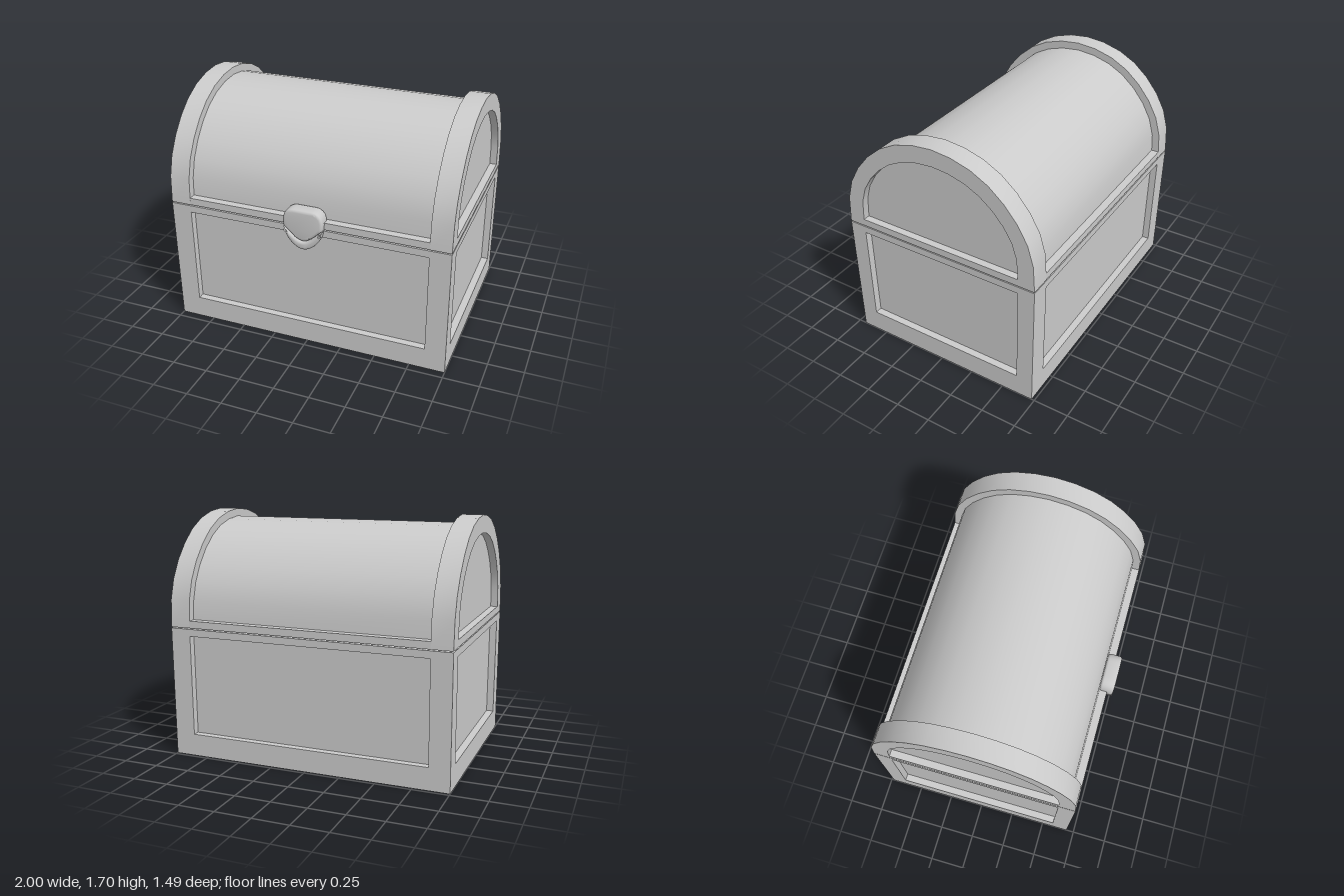
import * as THREE from 'three';
import { toCreasedNormals } from 'three/addons/utils/BufferGeometryUtils.js';

const ZC = -0.018;            // chest centre in depth
const HALF = 0.722;           // half depth
const SEAM = 0.917, LID = 0.925;
const material = new THREE.MeshStandardMaterial({ color: 0xcccccc });

function add(group, name, geometry) {
  const mesh = new THREE.Mesh(geometry, material);
  mesh.name = name;
  group.add(mesh);
  return mesh;
}

function rect(Type, x0, y0, x1, y1) {
  return new Type([[x0, y0], [x1, y0], [x1, y1], [x0, y1]].map(p => new THREE.Vector2(...p)));
}

// Rectangular frame with a rectangular opening, extruded along z
function frame(outer, inner, depth) {
  const shape = rect(THREE.Shape, ...outer);
  shape.holes.push(rect(THREE.Path, ...inner));
  return new THREE.ExtrudeGeometry(shape, { depth, bevelEnabled: false });
}

// The base narrows a little towards the floor
function taper(geometry) {
  const p = geometry.attributes.position;
  for (let i = 0; i < p.count; i++) {
    p.setZ(i, p.getZ(i) * (0.986 + 0.014 * p.getY(i) / SEAM) + ZC);
  }
  geometry.computeVertexNormals();
  return geometry;
}

// Half of the lid arch from apex to rim: [offset from centre, height]
const ARCH = [[0, 1.7], [0.141, 1.686], [0.28, 1.646], [0.403, 1.58], [0.51, 1.489],
  [0.602, 1.378], [0.671, 1.255], [0.711, 1.115], [HALF, LID]];

function archPoints(width, bottom, top) {
  const half = ARCH.map(([z, y]) =>
    new THREE.Vector2(z * width / HALF, bottom + (y - LID) * (top - bottom) / (1.7 - LID)));
  const mirrored = half.slice(1).map(p => new THREE.Vector2(-p.x, p.y));
  return [...half.reverse(), ...mirrored];
}

// Extrude a (z, y) profile along x, centred at the given x
function extrudeX(shape, width, x) {
  const g = new THREE.ExtrudeGeometry(shape, { depth: width, bevelEnabled: false });
  g.rotateY(-Math.PI / 2).translate(x + width / 2, 0, ZC);
  return toCreasedNormals(g, 0.6);
}

function createBase() {
  const base = new THREE.Group();
  base.name = 'base';
  add(base, 'basePanels', taper(new THREE.BoxGeometry(1.9, SEAM - 0.05, 1.344)
    .translate(0, (SEAM + 0.05) / 2, 0)));
  const long = () => frame([-1, 0, 1, SEAM], [-0.855, 0.157, 0.855, 0.867], 0.05);
  add(base, 'frontFrame', taper(long().translate(0, 0, HALF - 0.05)));
  add(base, 'backFrame', taper(long().translate(0, 0, -HALF)));
  for (const [name, x] of [['rightFrame', -1], ['leftFrame', 0.95]]) {
    const g = frame([-HALF, 0, HALF, SEAM], [-0.602, 0.157, 0.602, 0.867], 0.05);
    add(base, name, taper(g.rotateY(Math.PI / 2).translate(x, 0, 0)));
  }
  const floor = frame([-1, -HALF, 1, HALF], [-0.855, -0.602, 0.855, 0.602], 0.05);
  add(base, 'floorFrame', taper(floor.rotateX(-Math.PI / 2)));
  return base;
}

function createLid() {
  const lid = new THREE.Group();
  lid.name = 'lid';
  // Barrel top, whose ends form the recessed end panels
  add(lid, 'barrel', extrudeX(new THREE.Shape(archPoints(0.668, LID, 1.645)), 1.9, 0));
  for (const [name, x] of [['rightArch', -0.9275], ['leftArch', 0.9275]]) {
    const shape = new THREE.Shape(archPoints(HALF, LID, 1.7));
    shape.holes.push(new THREE.Path(archPoints(0.603, 0.975, 1.58)));
    add(lid, name, extrudeX(shape, 0.145, x));
  }
  // Rails along the lower edge between the arches
  for (const [name, side] of [['frontRail', 1], ['backRail', -1]]) {
    add(lid, name, new THREE.BoxGeometry(1.72, 0.05, 0.12))
      .position.set(0, 0.95, ZC + side * (HALF - 0.062));
  }
  return lid;
}

function createLock() {
  const lock = new THREE.Group();
  lock.name = 'lock';
  const plate = shape => {
    const g = new THREE.ExtrudeGeometry(shape, {
      depth: 0.065, bevelThickness: 0.018, bevelSize: 0.018, bevelOffset: -0.018,
      bevelSegments: 3, curveSegments: 10,
    });
    return toCreasedNormals(g.translate(0.004, 0, 0.662), 0.6);
  };

  // Upper shield with a keyhole
  const upper = new THREE.Shape();
  upper.moveTo(-0.136, 0.922);
  upper.bezierCurveTo(-0.085, 0.885, -0.05, 0.83, 0, 0.83);
  upper.bezierCurveTo(0.05, 0.83, 0.085, 0.885, 0.136, 0.922);
  upper.bezierCurveTo(0.15, 0.99, 0.135, 1.055, 0.06, 1.055);
  upper.lineTo(-0.06, 1.055);
  upper.bezierCurveTo(-0.135, 1.055, -0.15, 0.99, -0.136, 0.922);
  const hole = new THREE.Path();
  hole.moveTo(-0.018, 0.935);
  hole.lineTo(-0.034, 0.876);
  hole.lineTo(0.034, 0.876);
  hole.lineTo(0.018, 0.935);
  hole.absarc(0, 0.965, 0.036, -1.0, Math.PI + 1.0, false);
  upper.holes.push(hole);
  add(lock, 'lockPlate', plate(upper));
  add(lock, 'keyholeBack', new THREE.BoxGeometry(0.12, 0.17, 0.05)).position.set(0.004, 0.945, 0.69);

  // Lower catch that cups the shield's point
  const lower = new THREE.Shape();
  lower.moveTo(-0.138, 0.918);
  lower.bezierCurveTo(-0.13, 0.84, -0.06, 0.766, 0, 0.766);
  lower.bezierCurveTo(0.06, 0.766, 0.13, 0.84, 0.138, 0.918);
  lower.bezierCurveTo(0.085, 0.88, 0.05, 0.826, 0, 0.826);
  lower.bezierCurveTo(-0.05, 0.826, -0.085, 0.88, -0.138, 0.918);
  add(lock, 'lockCatch', plate(lower));
  return lock;
}

export function createModel() {
  const chest = new THREE.Group();
  chest.name = 'chest';
  chest.add(createBase(), createLid(), createLock());
  return chest;
}
